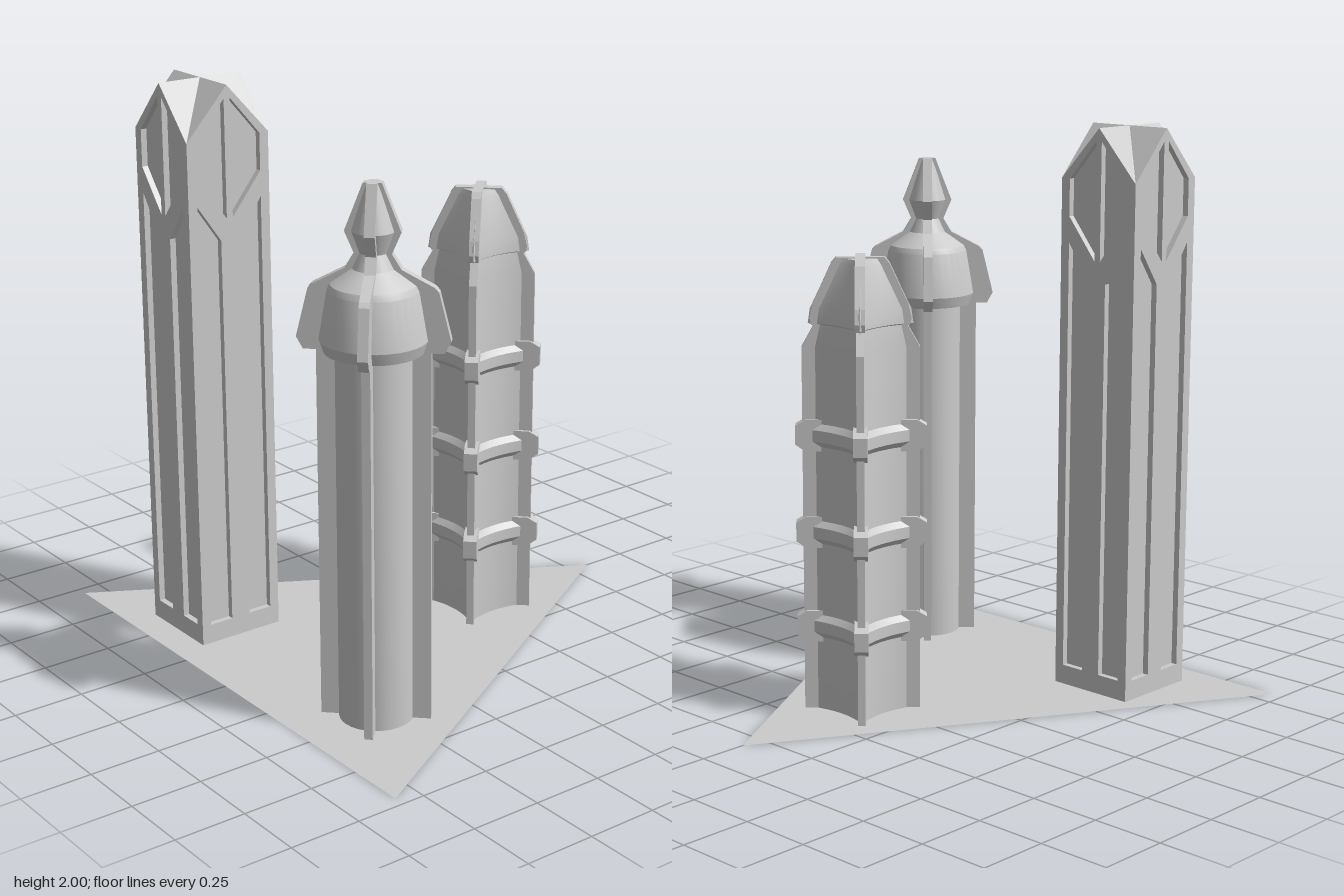
import * as THREE from 'three';
import { toCreasedNormals } from 'three/addons/utils/BufferGeometryUtils.js';

const material = new THREE.MeshStandardMaterial({ color: 0xcccccc, side: THREE.DoubleSide });

function part(parent, name, geometry) {
  const mesh = new THREE.Mesh(geometry, material);
  mesh.name = name;
  parent.add(mesh);
  return mesh;
}

const polygon = (points) => new THREE.Shape(points.map(([x, y]) => new THREE.Vector2(x, y)));

function extrude(shape, depth) {
  return new THREE.ExtrudeGeometry(shape, { depth, bevelEnabled: false });
}

// Four radial fins on the diagonals, outline given as [radius, height]
function addFins(parent, name, outline, thickness) {
  for (let i = 0; i < 4; i++) {
    const geometry = extrude(polygon(outline), thickness);
    geometry.translate(0, 0, -thickness / 2);
    part(parent, name, geometry).rotation.y = Math.PI / 4 + (i * Math.PI) / 2;
  }
}

// Stack scaled copies of a plan outline; rings are [height, scale]
function loft(outline, rings) {
  const n = outline.length;
  const positions = [];
  const index = [];
  for (const [y, s] of rings) for (const p of outline) positions.push(p.x * s, y, p.y * s);
  for (let r = 0; r < rings.length - 1; r++) {
    for (let i = 0; i < n; i++) {
      const a = r * n + i, b = r * n + ((i + 1) % n);
      index.push(a, a + n, b, b, a + n, b + n);
    }
  }
  // Bottom and top caps fan out from the centre
  const bottom = positions.length / 3;
  positions.push(0, rings[0][0], 0, 0, rings[rings.length - 1][0], 0);
  const last = (rings.length - 1) * n;
  for (let i = 0; i < n; i++) {
    const j = (i + 1) % n;
    index.push(bottom, i, j, bottom + 1, last + j, last + i);
  }
  const geometry = new THREE.BufferGeometry();
  geometry.setAttribute('position', new THREE.Float32BufferAttribute(positions, 3));
  geometry.setIndex(index);
  return toCreasedNormals(geometry, 0.5);
}

// Square tower with a cross-gabled roof and recessed tracery
function squareTower() {
  const group = new THREE.Group();
  group.name = 'squareTower';
  const half = 0.162, core = 0.14, top = 2, slope = 1.1;
  const gable = (w) => polygon([[-w, 0], [w, 0], [w, top - w * slope], [0, top], [-w, top - w * slope]]);

  for (let i = 0; i < 2; i++) {
    const geometry = extrude(gable(core), core * 2);
    geometry.translate(0, 0, -core);
    part(group, 'gabledCore', geometry).rotation.y = (i * Math.PI) / 2;
  }

  const face = gable(half);
  for (const side of [-1, 1]) {
    const windowHole = [[0.012, 1.955], [0.127, 1.82], [0.127, 1.69], [0.012, 1.545]];
    const panelHole = [[0.037, 0.07], [0.127, 0.07], [0.127, 1.6], [0.037, 1.47]];
    for (const hole of [windowHole, panelHole]) {
      face.holes.push(polygon(hole.map(([x, y]) => [x * side, y])));
    }
  }
  for (let i = 0; i < 4; i++) {
    const geometry = extrude(face, half - core);
    geometry.translate(0, 0, core);
    part(group, 'traceryFace', geometry).rotation.y = (i * Math.PI) / 2;
  }
  return group;
}

// Round tower with diagonal fins, flared skirt and finial
function roundTower() {
  const group = new THREE.Group();
  group.name = 'roundTower';
  const profile = [
    [0, 0], [0.125, 0], [0.125, 1.28], [0.162, 1.28], [0.175, 1.32], [0.148, 1.48], [0.138, 1.5],
    [0.068, 1.55], [0.045, 1.6], [0.07, 1.67], [0.025, 1.82], [0, 1.825],
  ].map(([r, y]) => new THREE.Vector2(r, y));
  part(group, 'roundBody', toCreasedNormals(new THREE.LatheGeometry(profile, 32), 0.3));
  addFins(group, 'shaftFin', [[0, 0], [0.184, 0], [0.184, 1.3], [0, 1.3]], 0.028);
  addFins(group, 'headFin', [
    [0, 1.28], [0.225, 1.28], [0.247, 1.32], [0.208, 1.48], [0.195, 1.495], [0.09, 1.55],
    [0.06, 1.6], [0.09, 1.67], [0.03, 1.825], [0, 1.825],
  ], 0.034);
  return group;
}

// Concave-sided tower with diagonal fins and three raised bands
function concaveTower() {
  const group = new THREE.Group();
  group.name = 'concaveTower';
  const plan = [];
  for (let side = 0; side < 4; side++) {
    const curve = new THREE.QuadraticBezierCurve(
      new THREE.Vector2(-0.125, 0.127), new THREE.Vector2(0, 0.078), new THREE.Vector2(0.125, 0.127));
    const points = curve.getPoints(10);
    for (const p of points) plan.push(p.rotateAround(new THREE.Vector2(), (-side * Math.PI) / 2));
  }
  plan.reverse();

  part(group, 'concaveBody', loft(plan, [[0, 1], [1.28, 1], [1.36, 0.9]]));
  part(group, 'concaveHead', loft(plan, [[1.355, 0.9], [1.36, 1.0], [1.41, 0.96], [1.56, 0.56], [1.58, 0.48]]));
  addFins(group, 'shaftFin', [[0, 0], [0.2, 0], [0.2, 1.28], [0.15, 1.37], [0, 1.37]], 0.026);
  addFins(group, 'headFin', [
    [0, 1.36], [0.166, 1.355], [0.172, 1.38], [0.16, 1.43], [0.098, 1.565], [0.082, 1.585], [0, 1.585],
  ], 0.034);

  for (const y of [0.305, 0.64, 0.98]) {
    part(group, 'band', loft(plan, [[y - 0.045, 1], [y - 0.025, 1.17], [y + 0.015, 1.17], [y + 0.035, 1]]));
    addFins(group, 'bandKnob', [
      [0, y - 0.06], [0.19, y - 0.06], [0.224, y - 0.035], [0.224, y + 0.03], [0.19, y + 0.05], [0, y + 0.05],
    ], 0.048);
  }
  return group;
}

export function createModel() {
  const model = new THREE.Group();
  model.name = 'threeTowers';

  // Thin triangular ground plate
  const plate = new THREE.ShapeGeometry(polygon([[-0.96, -0.83], [0.96, -0.83], [0, 0.83]]));
  plate.rotateX(-Math.PI / 2);
  part(model, 'basePlate', plate);

  const square = squareTower();
  square.position.set(-0.475, 0, 0.557);
  const round = roundTower();
  round.position.set(0.475, 0, 0.54);
  const concave = concaveTower();
  concave.position.set(-0.008, 0, -0.28);
  model.add(square, round, concave);
  return model;
}
